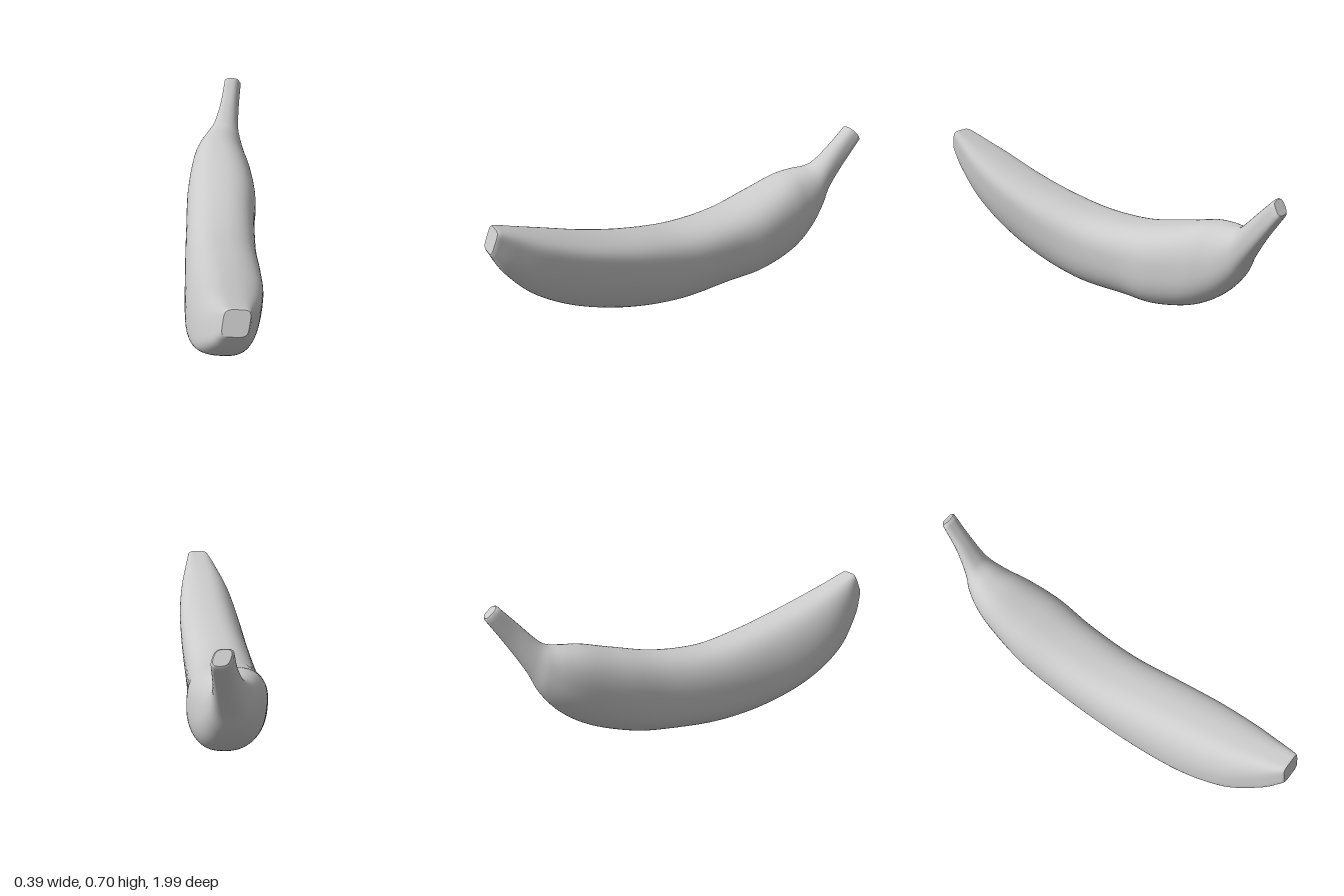
import * as THREE from 'three';

// Sections from blossom end to stem tip:
// top z, top y, bottom z, bottom y, x min, x max, side skew, squareness, top x shift
const SECTIONS = [
  [0.950, 0.613, 0.990, 0.497, 0.032, 0.146, 0.00, 4.5, 0.008],
  [0.860, 0.580, 0.930, 0.385, -0.020, 0.162, 0.15, 3.2, 0.012],
  [0.720, 0.530, 0.800, 0.240, -0.085, 0.182, 0.25, 2.7, 0.015],
  [0.520, 0.465, 0.600, 0.120, -0.130, 0.192, 0.28, 2.5, 0.015],
  [0.300, 0.410, 0.350, 0.038, -0.157, 0.185, 0.22, 2.5, 0.01],
  [0.050, 0.372, 0.080, 0.002, -0.177, 0.168, 0.15, 2.5, 0.0],
  [-0.20, 0.385, -0.20, 0.018, -0.190, 0.158, 0.10, 2.5, 0.0],
  [-0.42, 0.437, -0.38, 0.040, -0.196, 0.163, 0.05, 2.5, -0.01],
  [-0.58, 0.485, -0.57, 0.098, -0.178, 0.138, 0.00, 2.4, -0.02],
  [-0.67, 0.500, -0.70, 0.180, -0.153, 0.105, 0.00, 2.3, -0.02],
  [-0.745, 0.510, -0.785, 0.280, -0.115, 0.077, 0.00, 2.3, -0.01],
  [-0.79, 0.540, -0.835, 0.385, -0.075, 0.060, 0.00, 2.4, -0.005],
  [-0.86, 0.615, -0.905, 0.505, -0.038, 0.058, 0.00, 2.6, -0.008],
  [-0.94, 0.700, -0.993, 0.640, -0.015, 0.064, 0.00, 3.0, -0.012],
];
const STEPS = 104, SIDES = 56;

function curveOf(pick) {
  return new THREE.CatmullRomCurve3(SECTIONS.map((s) => new THREE.Vector3(...pick(s))), false, 'catmullrom', 0.5);
}
const topCurve = curveOf((s) => [s[8], s[1], s[0]]);
const bottomCurve = curveOf((s) => [-s[8], s[3], s[2]]);
const widthCurve = curveOf((s) => [s[4], s[5], 0]);
const shapeCurve = curveOf((s) => [s[6], s[7], 0]);

// One rounded, skewed cross-section as a loop of points
function ringAt(t) {
  const top = topCurve.getPoint(t), bottom = bottomCurve.getPoint(t);
  const width = widthCurve.getPoint(t), shape = shapeCurve.getPoint(t);
  const mid = (width.x + width.y) / 2, half = (width.y - width.x) / 2;
  const ring = [];
  for (let j = 0; j < SIDES; j++) {
    const a = (j / SIDES) * Math.PI * 2, c = Math.cos(a), s = Math.sin(a);
    const u = Math.sign(c) * Math.abs(c) ** (2 / shape.y);
    let v = Math.sign(s) * Math.abs(s) ** (2 / shape.y);
    v += shape.x * u * (1 - v * v);
    const p = bottom.clone().lerp(top, (v + 1) / 2);
    p.x += mid + half * u;
    ring.push(p);
  }
  return ring;
}

function centreOf(ring) {
  return ring.reduce((sum, p) => sum.add(p), new THREE.Vector3()).divideScalar(ring.length);
}

// Slightly smaller loop pushed outward, rounding the rim of a cut end
function bevelRing(ring, neighbour, scale, push) {
  const centre = centreOf(ring);
  const out = centre.clone().sub(centreOf(neighbour)).setLength(push);
  return ring.map((p) => p.clone().sub(centre).multiplyScalar(scale).add(centre).add(out));
}

function geometryOf(points, index) {
  const geometry = new THREE.BufferGeometry().setFromPoints(points);
  geometry.setIndex(index);
  geometry.computeVertexNormals();
  return geometry;
}

function loft(rings) {
  const index = [];
  for (let i = 0; i < rings.length - 1; i++) {
    for (let j = 0; j < SIDES; j++) {
      const k = (j + 1) % SIDES;
      const a = i * SIDES + j, b = i * SIDES + k, c = a + SIDES, d = b + SIDES;
      index.push(a, c, b, b, c, d);
    }
  }
  return geometryOf(rings.flat(), index);
}

// Flat fan closing an end
function cap(ring, flip) {
  const index = [];
  for (let j = 0; j < SIDES; j++) {
    const k = (j + 1) % SIDES;
    index.push(SIDES, flip ? k : j, flip ? j : k);
  }
  return geometryOf([...ring, centreOf(ring)], index);
}

export function createModel() {
  const group = new THREE.Group();
  group.name = 'banana';
  const material = new THREE.MeshStandardMaterial({ color: 0xcccccc, roughness: 0.8 });

  const rings = [];
  for (let i = 0; i <= STEPS; i++) rings.push(ringAt(i / STEPS));
  const frontRim = bevelRing(rings[0], rings[1], 0.9, 0.008);
  const backRim = bevelRing(rings[STEPS], rings[STEPS - 1], 0.82, 0.008);

  const add = (name, geometry) => {
    const mesh = new THREE.Mesh(geometry, material);
    mesh.name = name;
    group.add(mesh);
  };
  add('peel', loft([frontRim, ...rings, backRim]));
  add('blossomEnd', cap(frontRim, false));
  add('stemCut', cap(backRim, true));
  return group;
}
